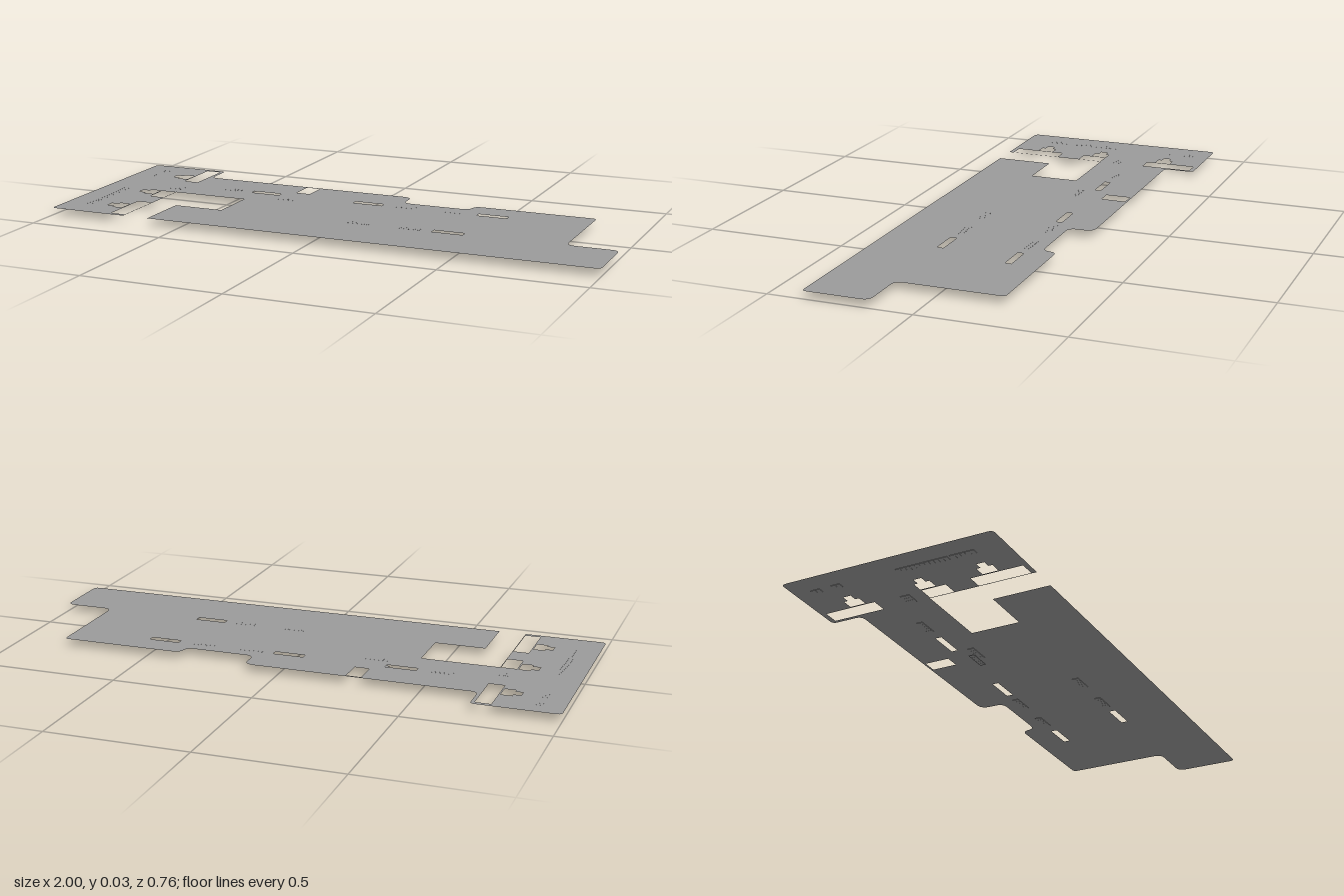
import * as THREE from 'three';

const PLATE_Y = 0.027;
const MARK_H = 0.002;

// Trace a closed path of [x, z, cornerRadius] points, rounding corners that have a radius
function trace(path, pts) {
  const v = pts.map(([x, z]) => new THREE.Vector2(x, -z));
  const n = pts.length;
  for (let i = 0; i < n; i++) {
    const p = v[i], r = pts[i][2] || 0;
    const toward = (q) => q.clone().sub(p).setLength(r).add(p);
    const a = r ? toward(v[(i + n - 1) % n]) : p;
    if (i === 0) path.moveTo(a.x, a.y);
    else path.lineTo(a.x, a.y);
    if (r) {
      const b = toward(v[(i + 1) % n]);
      path.quadraticCurveTo(p.x, p.y, b.x, b.y);
    }
  }
  path.closePath();
  return path;
}

const rect = (x0, x1, z0, z1) => [[x0, z0], [x1, z0], [x1, z1], [x0, z1]];

export function createModel() {
  const model = new THREE.Group();
  const plateMat = new THREE.MeshStandardMaterial({ color: 0x9b9b9b, side: THREE.DoubleSide });
  const markMat = new THREE.MeshStandardMaterial({ color: 0x9b9b9b });

  // Stepped sheet outline, with the L-shaped notch open to the front edge
  const outline = trace(new THREE.Shape(), [
    [-1, -0.378, 0.018], [-0.7, -0.378, 0.018], [-0.7, -0.267, 0.025],
    [0.12, -0.267, 0.035], [0.12, -0.178, 0.03], [0.372, -0.178, 0.03],
    [0.372, -0.229, 0.03], [0.82, -0.229, 0.018], [0.82, 0.145, 0.03],
    [1, 0.145, 0.03], [1, 0.378, 0.018], [-0.614, 0.378],
    [-0.614, 0.172], [-0.432, 0.172], [-0.432, -0.004], [-0.71, -0.004],
    [-0.71, 0.378], [-1, 0.378, 0.018],
  ]);

  // Rectangular openings
  const openings = [
    [-0.768, -0.713, -0.36, -0.176],
    [-0.768, -0.713, -0.002, 0.086],
    [-0.768, -0.713, 0.175, 0.36],
    [-0.298, -0.245, -0.259, -0.17],
    [-0.452, -0.341, -0.132, -0.11],
    [-0.046, 0.064, -0.132, -0.11],
    [0.422, 0.532, -0.132, -0.11],
    [0.356, 0.466, 0.137, 0.16],
  ].map((r) => rect(...r));

  // Stepped openings beside the long slots
  for (const z of [-0.235, 0.025, 0.249]) {
    openings.push([
      [-0.84, z - 0.014], [-0.813, z - 0.014], [-0.813, z - 0.028], [-0.774, z - 0.028],
      [-0.774, z + 0.028], [-0.813, z + 0.028], [-0.813, z + 0.014], [-0.84, z + 0.014],
    ]);
  }
  for (const o of openings) outline.holes.push(trace(new THREE.Path(), o));

  const plateGeo = new THREE.ShapeGeometry(outline, 6);
  plateGeo.rotateX(-Math.PI / 2);
  const plate = new THREE.Mesh(plateGeo, plateMat);
  plate.name = 'plate';
  plate.position.y = PLATE_Y;
  model.add(plate);

  // A row of small thin blocks filling a rectangle along its longer side
  function markRow(name, x0, x1, z0, z1, y, count) {
    const row = new THREE.Group();
    row.name = name;
    const alongX = x1 - x0 > z1 - z0;
    const w = x1 - x0, d = z1 - z0;
    const geo = new THREE.BoxGeometry(alongX ? (w / count) * 0.96 : w, MARK_H, alongX ? d : (d / count) * 0.96);
    for (let i = 0; i < count; i++) {
      const t = (i + 0.5) / count;
      const block = new THREE.Mesh(geo, markMat);
      block.name = 'markBlock';
      block.position.set(alongX ? x0 + w * t : (x0 + x1) / 2, y, alongX ? (z0 + z1) / 2 : z0 + d * t);
      row.add(block);
    }
    model.add(row);
  }

  // Rows set into the plate, almost flush with its top and standing out below
  const setInY = PLATE_Y - 0.0008;
  for (const [x0, x1, z0, z1, n] of [
    [-0.578, -0.5, -0.132, -0.11, 5],
    [0.105, 0.188, -0.132, -0.11, 5],
    [0.287, 0.372, -0.132, -0.11, 5],
    [-0.333, -0.248, -0.075, -0.053, 5],
    [0.043, 0.126, 0.137, 0.16, 5],
    [0.226, 0.311, 0.137, 0.16, 5],
    [-0.763, -0.713, -0.084, -0.051, 3],
  ]) markRow('markRow', x0, x1, z0, z1, setInY, n);

  // Rows along the depth, near the right edge
  for (const [z0, z1, n] of [[-0.318, -0.284, 2], [-0.243, -0.209, 2], [-0.006, 0.179, 11], [0.187, 0.272, 5]])
    markRow('sideMarkRow', -0.925, -0.902, z0, z1, setInY, n);

  // Separate row lying below the plate
  markRow('lowerMarkRow', -0.333, -0.248, -0.071, -0.05, MARK_H / 2, 5);

  return model;
}
